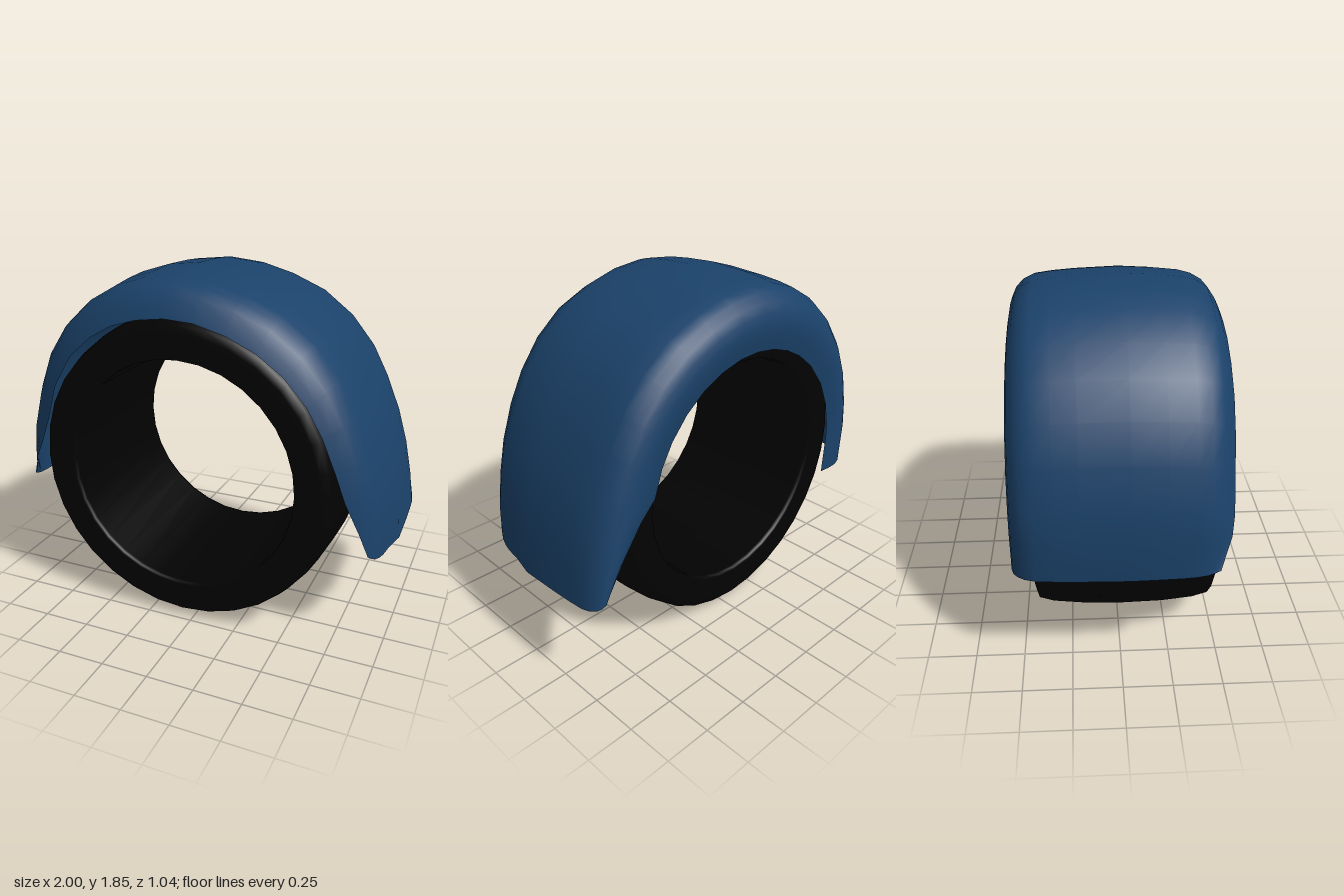
import * as THREE from 'three';

const black = new THREE.MeshStandardMaterial({ color: 0x020202 });
black.name = 'rubber black';
const blue = new THREE.MeshStandardMaterial({ color: 0x1b426a, side: THREE.DoubleSide });
blue.name = 'painted blue';

const centreX = -0.065, centreY = 0.833;

// Tyre: closed radius/width profile turned about the z axis
function makeTyre() {
  const profile = [
    [0.615, -0.41], [0.618, -0.425], [0.63, -0.43], [0.70, -0.43], [0.75, -0.43], [0.79, -0.415],
    [0.81, -0.34], [0.825, -0.18], [0.83, 0.02], [0.825, 0.22], [0.81, 0.38],
    [0.79, 0.46], [0.75, 0.475], [0.70, 0.475], [0.63, 0.475], [0.618, 0.47], [0.615, 0.455], [0.615, -0.41],
  ].map(([r, z]) => new THREE.Vector2(r, z));
  const geo = new THREE.LatheGeometry(profile, 32);
  geo.rotateX(Math.PI / 2);
  geo.translate(centreX, centreY, 0);
  const tyre = new THREE.Mesh(geo, black);
  tyre.name = 'tyre';
  return tyre;
}

// Fender stations, from the -x end over the top to the +x end:
// crown x, y, front lip x, y, front half width
const stations = [
  [-0.985, 0.655, -0.97, 0.69, 0.45],
  [-1.00, 0.85, -0.90, 0.83, 0.505],
  [-0.985, 1.03, -0.85, 0.92, 0.52],
  [-0.94, 1.24, -0.79, 1.08, 0.52],
  [-0.865, 1.42, -0.74, 1.25, 0.52],
  [-0.76, 1.57, -0.635, 1.42, 0.52],
  [-0.63, 1.69, -0.51, 1.53, 0.52],
  [-0.47, 1.78, -0.385, 1.60, 0.52],
  [-0.31, 1.83, -0.25, 1.64, 0.52],
  [-0.13, 1.85, -0.10, 1.66, 0.52],
  [0.06, 1.83, 0.05, 1.65, 0.515],
  [0.24, 1.78, 0.21, 1.605, 0.51],
  [0.43, 1.70, 0.36, 1.535, 0.505],
  [0.60, 1.57, 0.49, 1.435, 0.495],
  [0.73, 1.41, 0.60, 1.305, 0.485],
  [0.82, 1.24, 0.68, 1.165, 0.48],
  [0.90, 1.05, 0.745, 1.00, 0.47],
  [0.95, 0.86, 0.80, 0.84, 0.455],
  [0.98, 0.67, 0.87, 0.67, 0.42],
  [0.998, 0.485, 0.91, 0.54, 0.38],
];
// Back lip where it leaves its circle near the ends
const backEnds = { 0: [-0.73, 0.605], 17: [0.69, 0.88], 18: [0.81, 0.71], 19: [0.89, 0.60] };

// Cross-section: share of the way from crown to lip, width fraction
const frontSection = [[1, 1], [0.72, 0.95], [0.4, 0.87], [0.22, 0.76], [0.12, 0.63], [0.05, 0.38], [0, 0.06]];
const backSection = [
  [0.03, -0.38], [0.06, -0.6], [0.1, -0.77], [0.18, -0.87], [0.3, -0.94],
  [0.44, -0.98], [0.6, -1], [0.8, -0.985], [1, -0.955],
];

// Back lip: a tighter circle that covers most of the tyre wall
function backLip(i, lx, ly) {
  if (backEnds[i]) return backEnds[i];
  const a = Math.atan2(ly - centreY, lx - centreX);
  return [centreX + 0.68 * Math.cos(a), centreY + 0.68 * Math.sin(a)];
}

// Fender: curved shell lofted through the stations
function makeFender() {
  const pos = [], index = [], n = frontSection.length + backSection.length;
  stations.forEach(([cx, cy, lx, ly, width], i) => {
    const [bx, by] = backLip(i, lx, ly);
    // the front corner sweeps inward more where the fender narrows
    const roundness = 1 - (0.52 - width) * 4.3;
    for (const [t, w] of frontSection) {
      pos.push(cx + (lx - cx) * t ** roundness, cy + (ly - cy) * t, w * width);
    }
    for (const [t, w] of backSection) {
      pos.push(cx + (bx - cx) * t, cy + (by - cy) * t, w * 0.525);
    }
    if (i === stations.length - 1) return;
    for (let j = 0; j < n - 1; j++) {
      const a = i * n + j, b = a + n;
      index.push(a, b, a + 1, b, b + 1, a + 1);
    }
  });
  const geo = new THREE.BufferGeometry();
  geo.setAttribute('position', new THREE.Float32BufferAttribute(pos, 3));
  geo.setIndex(index);
  geo.computeVertexNormals();
  const fender = new THREE.Mesh(geo, blue);
  fender.name = 'fender';
  return fender;
}

export function createModel() {
  const model = new THREE.Group();
  model.name = 'wheel arch with tyre';
  model.add(makeTyre(), makeFender());
  return model;
}
